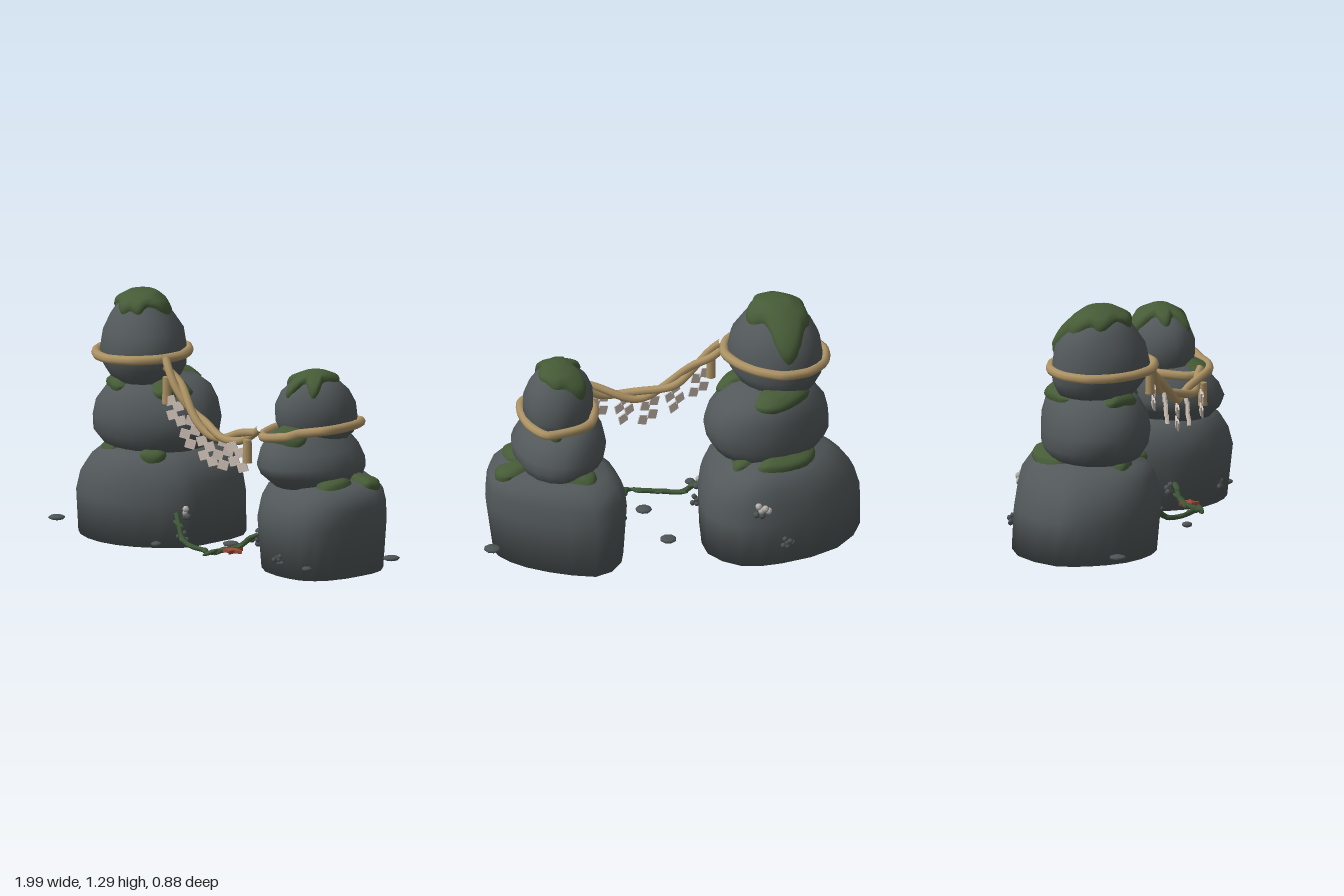
import * as THREE from 'three';

const TAU = Math.PI * 2;
const mat = (name, color) => {
  const m = new THREE.MeshStandardMaterial({ color });
  m.name = name;
  return m;
};
const V = (p) => new THREE.Vector3(...p);

// Smooth surface from a rule f(u, v) -> Vector3
function grid(f, nu, nv, closed) {
  const pos = [], idx = [], cols = closed ? nu : nu + 1;
  for (let j = 0; j <= nv; j++)
    for (let i = 0; i < cols; i++) pos.push(...f(i / nu, j / nv).toArray());
  for (let j = 0; j < nv; j++)
    for (let i = 0; i < nu; i++) {
      const a = j * cols + i, b = j * cols + (i + 1) % cols;
      idx.push(a, a + cols, b, b, a + cols, b + cols);
    }
  const g = new THREE.BufferGeometry();
  g.setAttribute('position', new THREE.Float32BufferAttribute(pos, 3));
  g.setIndex(idx);
  g.computeVertexNormals();
  return g;
}

// Rock surface: a plan outline, drawn out by skew along the +x -z diagonal, fitted to levels [y, x0, x1, z0, z1]
function rockSurface(plan, skew, levels) {
  const c = new THREE.CatmullRomCurve3(plan.map(([x, z]) => V([x + (x - z) / 2 * skew, 0, z - (x - z) / 2 * skew])), true);
  const box = new THREE.Box3().setFromPoints(c.getPoints(80));
  const size = box.getSize(new THREE.Vector3());
  const at = (u, k) => {
    const p = c.getPoint(((u % 1) + 1) % 1);
    k = Math.min(Math.max(k, 0), levels.length - 1);
    const i = Math.min(Math.floor(k), levels.length - 2);
    const L = levels[i].map((v, n) => THREE.MathUtils.lerp(v, levels[i + 1][n], k - i));
    const fx = (p.x - box.min.x) / size.x, fz = (p.z - box.min.z) / size.z;
    return V([L[1] + (L[2] - L[1]) * fx, L[0], L[3] + (L[4] - L[3]) * fz]);
  };
  const normal = (u, k) => {
    const dk = at(u, k + 0.3).sub(at(u, k - 0.3));
    return dk.cross(at(u + 0.02, k).sub(at(u - 0.02, k))).normalize();
  };
  return { at, normal, top: levels.length - 1 };
}

// Plans run from +x towards +z
const roundPlan = [[1, 0.05], [0.74, 0.66], [0.1, 1], [-0.62, 0.8], [-1, 0.1], [-0.78, -0.64], [-0.05, -1], [0.7, -0.72]];
const bigPlan = [[-0.14, 0], [-0.18, 0.19], [-0.38, 0.34], [-0.59, 0.37], [-0.79, 0.29], [-0.92, 0.13], [-0.97, -0.05],
  [-0.81, -0.31], [-0.5, -0.43], [-0.29, -0.42], [-0.14, -0.25]];
const smallPlan = [[0.35, 0.05], [0.29, 0.24], [0.18, 0.35], [0.02, 0.37], [-0.17, 0.32], [-0.3, 0.16], [-0.34, -0.05],
  [-0.31, -0.25], [-0.16, -0.41], [0.06, -0.36], [0.26, -0.24], [0.36, -0.1]];

const rocks = {
  largeBase: rockSurface(bigPlan, 0.02, [[0, -0.97, -0.13, -0.43, 0.35], [0.22, -0.97, -0.125, -0.42, 0.37], [0.32, -0.94, -0.14, -0.405, 0.36],
    [0.4, -0.88, -0.18, -0.385, 0.335], [0.46, -0.8, -0.25, -0.34, 0.29], [0.5, -0.66, -0.37, -0.26, 0.18], [0.51, -0.52, -0.52, 0, 0]]),
  largeMiddle: rockSurface(roundPlan, 0.14, [[0.46, -0.7, -0.3, -0.18, 0.2], [0.49, -0.77, -0.22, -0.24, 0.26], [0.55, -0.82, -0.18, -0.265, 0.3], [0.63, -0.82, -0.165, -0.27, 0.31],
    [0.71, -0.8, -0.19, -0.265, 0.3], [0.78, -0.75, -0.24, -0.245, 0.26], [0.83, -0.69, -0.31, -0.19, 0.21], [0.86, -0.5, -0.5, 0, 0]]),
  largeHead: rockSurface(roundPlan, -0.14, [[0.79, -0.64, -0.42, -0.07, 0.18], [0.83, -0.74, -0.36, -0.15, 0.235], [0.9, -0.78, -0.315, -0.18, 0.285], [0.98, -0.785, -0.305, -0.18, 0.31],
    [1.08, -0.77, -0.325, -0.165, 0.29], [1.16, -0.73, -0.38, -0.11, 0.24], [1.22, -0.68, -0.43, -0.05, 0.2], [1.255, -0.62, -0.48, 0, 0.12], [1.262, -0.55, -0.55, 0.06, 0.06]]),
  smallBase: rockSurface(smallPlan, -0.1, [[0, 0.28, 0.93, -0.4, 0.355], [0.27, 0.26, 0.965, -0.4, 0.38], [0.36, 0.27, 0.96, -0.385, 0.355],
    [0.42, 0.3, 0.945, -0.355, 0.315], [0.46, 0.36, 0.89, -0.3, 0.27], [0.485, 0.47, 0.76, -0.16, 0.14], [0.49, 0.6, 0.6, 0, 0]]),
  smallMiddle: rockSurface(roundPlan, 0, [[0.42, 0.48, 0.7, -0.14, 0.2], [0.45, 0.41, 0.79, -0.23, 0.3], [0.51, 0.35, 0.815, -0.26, 0.36], [0.56, 0.335, 0.82, -0.255, 0.38],
    [0.63, 0.35, 0.78, -0.235, 0.355], [0.7, 0.385, 0.71, -0.19, 0.3], [0.74, 0.44, 0.66, -0.12, 0.2], [0.755, 0.56, 0.56, 0.03, 0.03]]),
  smallHead: rockSurface(roundPlan, 0.22, [[0.66, 0.48, 0.7, -0.1, 0.15], [0.7, 0.425, 0.75, -0.16, 0.2], [0.77, 0.4, 0.77, -0.175, 0.23], [0.85, 0.4, 0.77, -0.16, 0.23],
    [0.92, 0.43, 0.74, -0.125, 0.2], [0.97, 0.48, 0.7, -0.07, 0.15], [1.0, 0.55, 0.64, 0, 0.08], [1.007, 0.59, 0.59, 0.04, 0.04]]),
};

export function createModel() {
  const model = new THREE.Group();
  const stone = mat('stone', 0x53595b), moss = mat('moss', 0x465b37), rope = mat('straw rope', 0xac9264);
  const paper = mat('paper', 0xd4c6bb), kelp = mat('kelp', 0x3e5637), red = mat('starfish red', 0x9c4a36);
  const pebbleGrey = mat('pebble grey', 0x4e5355), shell = mat('barnacle pale', 0xb8b4ae);
  const add = (name, geo, material, pos = [0, 0, 0], parent = model) => {
    const m = new THREE.Mesh(geo, material);
    m.name = name;
    m.position.set(...pos);
    parent.add(m);
    return m;
  };

  // Stacked rocks, shaded smoothly round to a flat underside
  for (const [name, r] of Object.entries(rocks)) {
    const centre = r.at(0, 0).add(r.at(0.5, 0)).multiplyScalar(0.5);
    add(name, grid((u, v) => {
      const k = v * (r.top + 1) - 1;
      return k < 0 ? centre.clone().lerp(r.at(u, 0), k + 1) : r.at(u, k);
    }, 22, r.top + 1, true), stone);
  }

  // Moss caps with hanging lobes; low(angle) is the lower edge
  const mossCap = (name, r, low) => add(name, grid((u, v) => {
    const k = THREE.MathUtils.lerp(low(u * TAU), r.top, v);
    const h = 0.034 * Math.sqrt(Math.min(1, v * 4)) - 0.008;
    const n = v > 0.9 ? V([0, 1, 0]) : r.normal(u, k);
    return r.at(u, k).addScaledVector(n, h);
  }, 56, 14, true), moss);
  const lobe = (a, dir, sharp) => Math.max(0, Math.cos(a - dir)) ** sharp;
  mossCap('largeMossCap', rocks.largeHead, (a) => 5.95 - 0.9 * lobe(a, -0.35, 8) - 2.7 * lobe(a, -1.6, 9)
    - 0.9 * lobe(a, -2.5, 12) - 0.65 * lobe(a, 2.9, 20) - 0.7 * lobe(a, 1.75, 24) - 0.6 * lobe(a, 1.1, 24));
  mossCap('smallMossCap', rocks.smallHead, (a) => 5.3 - 1.6 * lobe(a, 0.95, 24) - 1.7 * lobe(a, 1.85, 24) - 1 * lobe(a, 2.8, 20)
    - 2.2 * lobe(a, -2.25, 10) - 0.9 * lobe(a, -1.4, 12) - 0.4 * lobe(a, -0.6, 10));

  // Cushions of moss in the joints: rock, angle fraction, half width, lower and upper level
  const cushions = [
    ['largeBase', 0.35, 0.05, 4, 5.3], ['largeBase', 0.14, 0.04, 3.6, 5.3], ['largeBase', 0.69, 0.14, 4.2, 5.4], ['largeBase', 0.9, 0.04, 4.1, 5.3],
    ['largeMiddle', 0.36, 0.08, 5, 6.7], ['largeMiddle', 0.09, 0.08, 4.7, 6.6], ['largeMiddle', 0.7, 0.13, 5, 6.7],
    ['smallBase', 0.085, 0.095, 4, 5.3], ['smallBase', 0.92, 0.055, 3.3, 5.2], ['smallBase', 0.67, 0.085, 4.2, 5.4],
    ['smallMiddle', 0.23, 0.12, 4.6, 6.3], ['smallMiddle', 0.88, 0.08, 4.6, 6.2],
  ];
  cushions.forEach(([key, mid, half, lo, hi], i) => {
    const r = rocks[key];
    add('mossCushion' + (i + 1), grid((u, v) => {
      const s = 2 * u - 1, w = Math.sqrt(1 - 0.97 * s ** 4);
      const k = (lo + hi) / 2 + (v - 0.5) * (hi - lo) * w + 0.12 * Math.sin(u * 7 + i);
      const d = Math.min(u, 1 - u, v, 1 - v);
      const a = mid + s * half;
      return r.at(a, k).addScaledVector(r.normal(a, k), 0.036 * Math.sqrt(Math.min(1, d * 4)) - 0.008);
    }, 14, 10, false), moss);
  });

  // Rope loops round both heads
  const tube = (pts, rad, closed = false, n = 64) =>
    new THREE.TubeGeometry(new THREE.CatmullRomCurve3(pts, closed, 'catmullrom', 0.35), n, rad, 8, closed);
  const ring = [];
  for (let i = 0; i < 12; i++) {
    const a = i / 12 * TAU, x = Math.cos(a), r = 1 + 0.06 * Math.sin(2 * a) - 0.03 * Math.sin(2 * a) ** 2;
    ring.push(V([-0.547 + 0.258 * r * x, 0.965 + 0.012 * x, 0.072 + 0.262 * r * Math.sin(a)]));
  }
  add('largeRopeLoop', tube(ring, 0.025, true), rope);
  add('smallRopeLoop', tube([[0.385, 0.71, 0.1], [0.43, 0.725, -0.08], [0.51, 0.73, -0.155], [0.68, 0.735, -0.2], [0.755, 0.745, -0.1], [0.775, 0.75, 0.05],
    [0.75, 0.75, 0.16], [0.65, 0.735, 0.24], [0.61, 0.72, 0.29], [0.49, 0.705, 0.32], [0.41, 0.7, 0.24]].map(V), 0.024, true), rope);

  // Hanging rope of two twisted strands
  const path = new THREE.CatmullRomCurve3([[-0.29, 0.96, 0.19], [-0.17, 0.85, 0.22], [-0.03, 0.725, 0.25], [0.13, 0.66, 0.285],
    [0.29, 0.675, 0.31], [0.44, 0.735, 0.32]].map(V));
  for (const phase of [0, Math.PI]) {
    const pts = [];
    for (let i = 0; i <= 40; i++) {
      const a = phase + i / 40 * TAU * 1.8;
      pts.push(path.getPoint(i / 40).add(V([0, 0.02 * Math.cos(a), 0.02 * Math.sin(a)])));
    }
    add(phase ? 'ropeStrandB' : 'ropeStrandA', tube(pts, 0.021, false, 90), rope);
  }
  add('largeTassel', new THREE.CylinderGeometry(0.022, 0.025, 0.14, 8), rope, [-0.243, 0.83, 0.235]);
  add('smallTassel', new THREE.CylinderGeometry(0.022, 0.025, 0.12, 8), rope, [0.38, 0.62, 0.33]);

  // Zigzag paper streamers
  [[-0.185, 0.725, 0.23], [-0.065, 0.635, 0.26], [0.07, 0.56, 0.28], [0.19, 0.57, 0.3], [0.32, 0.575, 0.335]].forEach((p, i) => {
    const streamer = new THREE.Group();
    streamer.name = 'paperStreamer' + (i + 1);
    streamer.position.set(...p);
    streamer.rotation.set(0, i % 2 ? 0.55 : 0.4, i % 2 ? -0.25 : 0.3);
    [[-0.012, 0.064], [0.024, 0.026], [-0.024, -0.01], [0.016, -0.05]].forEach(([x, y], j) =>
      add('paperFold', new THREE.BoxGeometry(0.053, 0.048, 0.008), paper, [x, y, (j % 2) * 0.014], streamer));
    model.add(streamer);
  });

  // Kelp strands with small blades
  const kelpPaths = [
    [[-0.22, 0.19, 0.19], [-0.16, 0.14, 0.24], [-0.1, 0.08, 0.28], [0, 0.065, 0.33], [0.12, 0.066, 0.36]],
    [[0.17, 0.065, 0.38], [0.2, 0.07, 0.31], [0.25, 0.085, 0.25], [0.31, 0.14, 0.21]],
  ];
  kelpPaths.forEach((pts, k) => {
    const c = new THREE.CatmullRomCurve3(pts.map(V));
    add('kelpStem' + (k + 1), new THREE.TubeGeometry(c, 24, 0.014, 6), kelp);
    for (let i = 0; i < 5; i++) {
      const blade = add('kelpBlade', new THREE.SphereGeometry(1, 8, 6), kelp, c.getPoint(i / 4).toArray());
      blade.scale.set(0.042, 0.011, 0.018);
      blade.rotation.set(0, (k ? 0.9 : -0.5) + (i % 2 ? 0.4 : -0.3), k ? 0.4 : -0.45 + i * 0.1);
    }
  });

  // Starfish
  const star = new THREE.Shape();
  for (let i = 0; i < 10; i++) {
    const a = i / 10 * TAU, r = i % 2 ? 0.023 : 0.055;
    star[i ? 'lineTo' : 'moveTo'](r * Math.cos(a), r * Math.sin(a));
  }
  const starGeo = new THREE.ExtrudeGeometry(star, { depth: 0.014, bevelSize: 0.003, bevelThickness: 0.003, bevelSegments: 1 });
  add('starfish', starGeo.rotateX(-Math.PI / 2), red, [0.25, 0.065, 0.29]);

  // Loose pebbles
  [[-0.95, 0.275], [0.05, -0.18], [0.12, 0.155], [-0.165, 0.41], [0.955, -0.13], [0.79, 0.34]].forEach(([x, z], i) => {
    const s = i === 3 || i === 5 ? 0.028 : 0.044;
    const p = add('pebble' + (i + 1), new THREE.SphereGeometry(1, 8, 6), pebbleGrey, [x, 0.065, z]);
    p.scale.set(s, 0.014, s);
    p.rotation.y = i;
  });

  // Barnacle clusters: position, size, and how many in three are pale
  [[-0.185, 0.185, 0.17, 1.2, 1], [0.28, 0.1, 0.02, 1.3, 0], [0.31, 0.12, 0.17, 1.2, 0], [0.61, 0.09, 0.352, 1, 0], [-0.165, 0.07, 0.2, 1, 0],
    [-0.4, 0.31, -0.41, 1.3, 2], [-0.53, 0.12, -0.42, 1, 0]].forEach(([x, y, z, size, pale], k) => {
    const g = new THREE.Group();
    g.name = 'barnacles' + (k + 1);
    for (let i = 0; i < 6; i++) {
      const a = i * 2.4, r = size * (0.011 * Math.sqrt(i) + 0.004);
      add('barnacle', new THREE.SphereGeometry(0.014 * size, 7, 5), i % 3 < pale ? shell : pebbleGrey,
        [x + r * Math.cos(a), y + r * Math.sin(a), z + 0.006 * Math.sin(i * 5)], g);
    }
    model.add(g);
  });
  return model;
}
